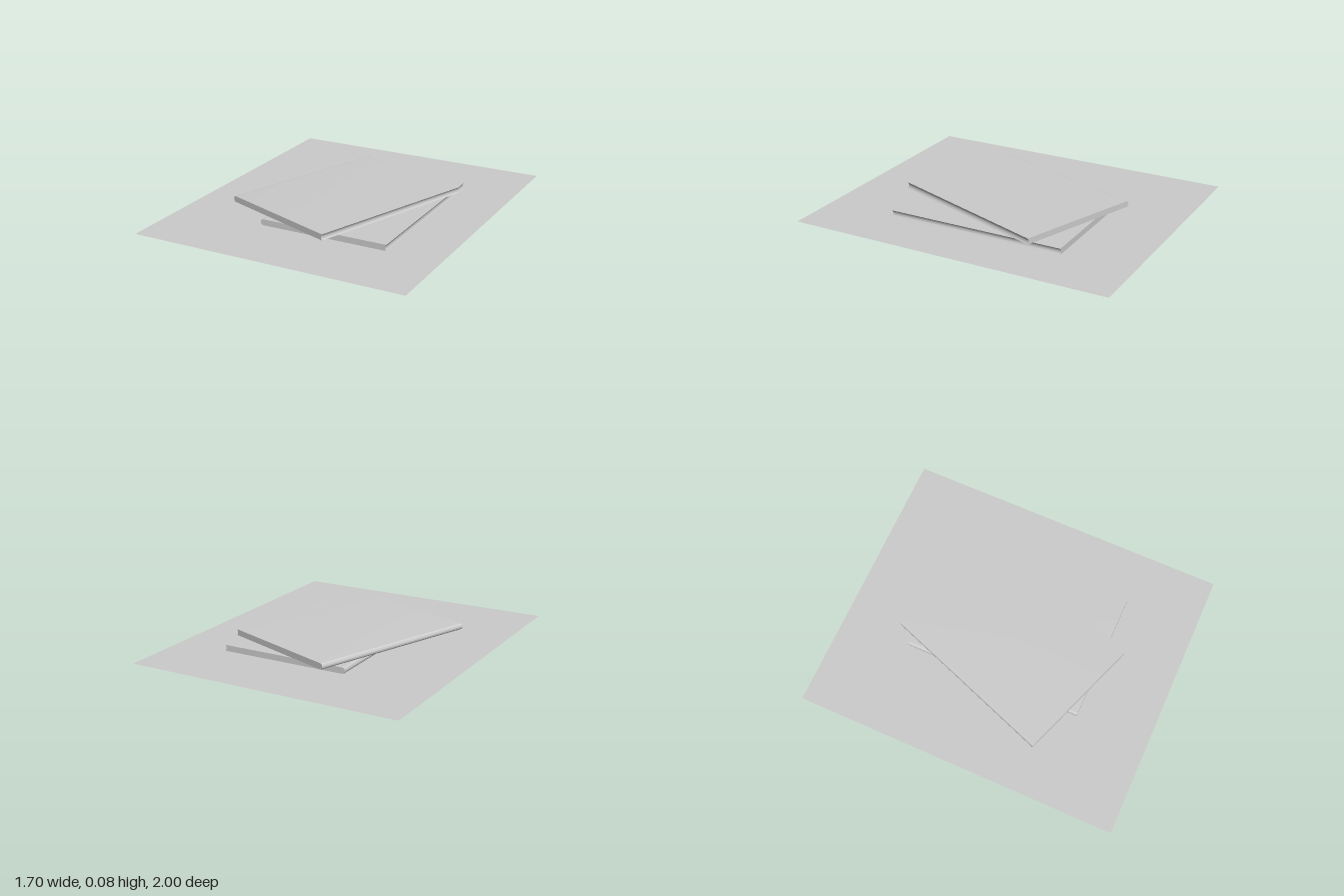
import * as THREE from 'three';
import { toCreasedNormals } from 'three/addons/utils/BufferGeometryUtils.js';

const WIDTH = 0.81, LENGTH = 1.11, THICK = 0.037;

// Closed book: rounded spine at -x, shallow hollow fore edge at +x
function bookGeometry() {
  const w = WIDTH / 2, spine = 0.016, hollow = 0.008;
  const profile = new THREE.Shape();
  profile.moveTo(-w + spine, 0);
  profile.lineTo(w, 0);
  profile.quadraticCurveTo(w - 2 * hollow, THICK / 2, w, THICK);
  profile.lineTo(-w + spine, THICK);
  profile.absellipse(-w + spine, THICK / 2, spine, THICK / 2, Math.PI / 2, Math.PI * 1.5, false, 0);
  const geometry = new THREE.ExtrudeGeometry(profile, { depth: LENGTH, bevelEnabled: false, curveSegments: 12 });
  geometry.translate(0, 0, -LENGTH / 2);
  return toCreasedNormals(geometry, 0.6);
}

export function createModel() {
  const model = new THREE.Group();
  const material = new THREE.MeshStandardMaterial({ color: 0xcccccc, side: THREE.DoubleSide });

  // Flat sheet under the books
  const sheet = new THREE.Mesh(new THREE.PlaneGeometry(1.7, 2), material);
  sheet.name = 'groundSheet';
  sheet.rotation.x = -Math.PI / 2;
  model.add(sheet);

  // Two stacked books, the upper one turned
  const geometry = bookGeometry();
  const addBook = (name, x, y, z, degrees) => {
    const book = new THREE.Mesh(geometry, material);
    book.name = name;
    book.position.set(x, y, z);
    book.rotation.y = THREE.MathUtils.degToRad(degrees);
    model.add(book);
  };
  addBook('lowerBook', 0.115, 0.001, -0.005, 0);
  addBook('upperBook', -0.01, 0.039, 0.005, -20);

  return model;
}
